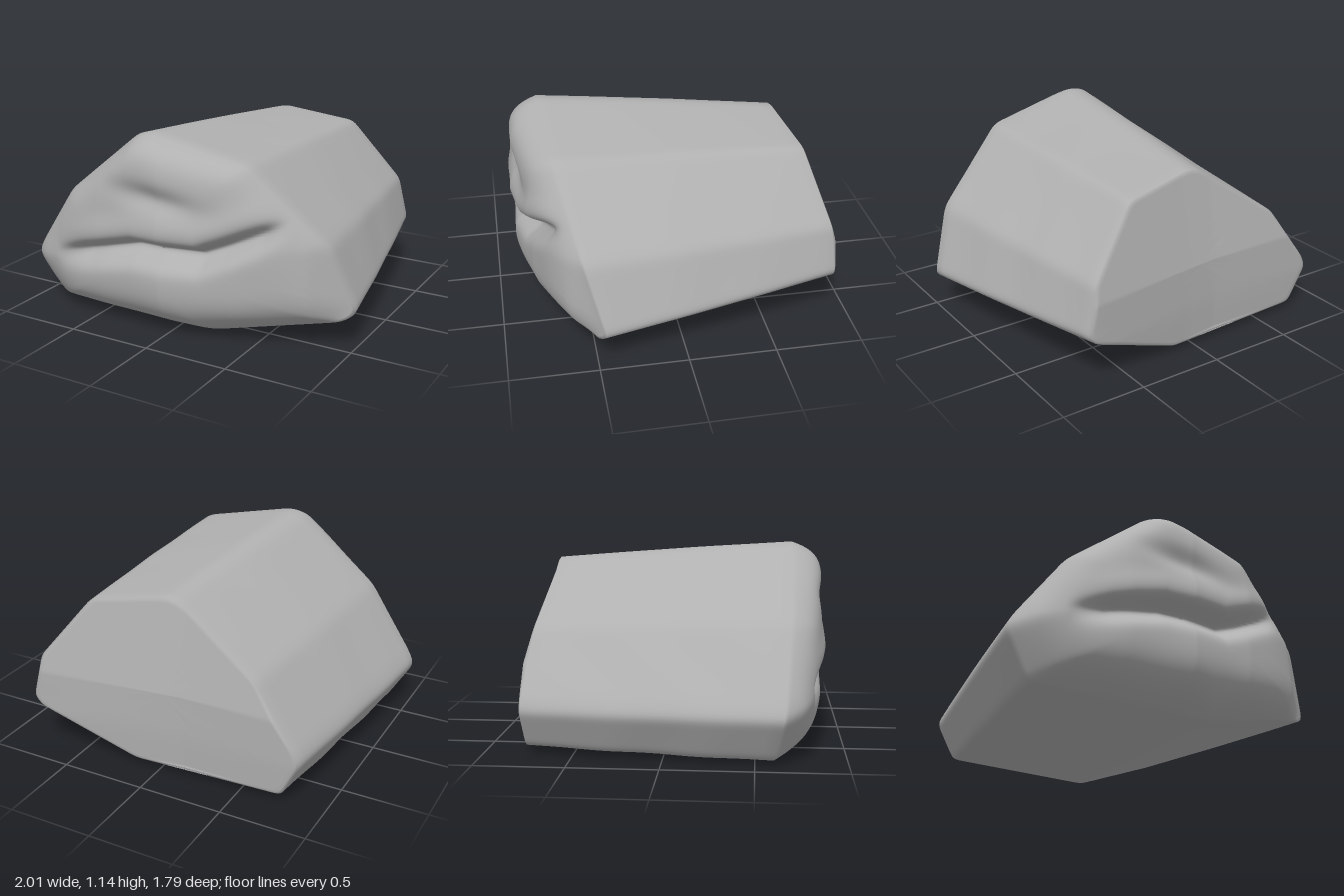
import * as THREE from 'three';

const CENTRE = [-0.03, 0.5];
const SEGMENTS = 240;
const CAP_RINGS = 48;

// Piecewise linear lookup through [input, output] pairs
function lookup(table, v) {
  if (v <= table[0][0]) return table[0][1];
  for (let i = 1; i < table.length; i++) {
    const [a, p] = table[i - 1], [b, q] = table[i];
    if (v <= b) return p + (q - p) * (v - a) / (b - a);
  }
  return table[table.length - 1][1];
}

// Back face: swings back towards the left side and leans forward near the top
const backDepth = [[-0.86, -0.77], [-0.15, -0.775], [0.05, -0.795], [0.35, -0.835], [0.72, -0.885]];
const backZ = (x, y) => lookup(backDepth, x) + lookup([[0, 0.015], [0.25, 0], [0.5, 0], [1.04, 0.105]], y);

// Matching corners of both ends, anticlockwise from the front: [x, y, z]
const frontCorners = [
  [-0.86, 0.015, 0.6], [0.2, 0, 0.6], [0.94, 0.17, 0.5], [1.015, 0.22, 0.45],
  [0.88, 0.6, 0.55], [0.46, 1.02, 0.66], [-0.12, 1.145, 0.7], [-0.21, 1.125, 0.7],
  [-0.7, 0.73, 0.69], [-0.97, 0.35, 0.66], [-1.015, 0.27, 0.65],
];
const backCorners = [
  [-0.75, 0.045], [0.15, 0.04], [0.73, 0.28], [0.78, 0.33],
  [0.72, 0.6], [0.43, 0.97], [-0.01, 1.035], [-0.08, 1.02],
  [-0.58, 0.68], [-0.83, 0.33], [-0.86, 0.26],
].map(([x, y]) => [x, y, backZ(x, y)]);

// Fill the edges with points (same spacing rule at both ends), then soften the corners
function outline(corners) {
  const n = corners.length;
  const lengths = frontCorners.map((p, i) => {
    const q = frontCorners[(i + 1) % n];
    return Math.hypot(q[0] - p[0], q[1] - p[1]);
  });
  const total = lengths.reduce((a, b) => a + b, 0);
  let points = [];
  let edge = 0, start = 0;
  for (let j = 0; j < SEGMENTS; j++) {
    const d = total * j / SEGMENTS;
    while (d > start + lengths[edge]) start += lengths[edge++];
    const t = (d - start) / lengths[edge];
    const p = corners[edge], q = corners[(edge + 1) % n];
    points.push(p.map((v, k) => v + (q[k] - v) * t));
  }
  for (let pass = 0; pass < 4; pass++) {
    points = points.map((p, j) => {
      const a = points[(j + SEGMENTS - 1) % SEGMENTS], b = points[(j + 1) % SEGMENTS];
      return p.map((v, k) => v / 2 + (a[k] + b[k]) / 4);
    });
  }
  return points;
}

const crackLine = [[-0.72, 0.37], [-0.6, 0.4], [-0.35, 0.465], [-0.18, 0.505], [0.22, 0.51], [0.36, 0.57], [0.65, 0.71]];
const crackFade = [[-0.74, 0], [-0.5, 0.75], [-0.2, 1], [0.4, 1], [0.56, 0.7], [0.7, 0]];
const faceDepth = [[-1, 0.77], [-0.88, 0.81], [-0.7, 0.84], [-0.4, 0.87], [0, 0.88], [0.4, 0.81], [0.8, 0.68], [1, 0.53]];
const bump = (v) => Math.exp(-v * v);

// Depth of the front face, with the crack, its overhanging lip and the hollow above
function faceZ(x, y) {
  const t = y - lookup(crackLine, x);
  const crack = 0.12 * bump(t / (t > 0 ? 0.045 : 0.075));
  const lip = 0.02 * bump((t - 0.12) / 0.08);
  const hollow = 0.042 * bump((x + 0.03) / 0.24) * bump((y - 0.8 + 0.12 * x) / 0.07);
  const unevenness = 0.005 * Math.sin(9 * x + 4 * y) * Math.sin(7 * y - 3 * x);
  return lookup(faceDepth, x) - lookup(crackFade, x) * (crack - lip) - hollow + unevenness;
}

function rockGeometry() {
  const front = outline(frontCorners), back = outline(backCorners);
  const rows = [];
  const inset = (p, s, z) => [CENTRE[0] + (p[0] - CENTRE[0]) * s, CENTRE[1] + (p[1] - CENTRE[1]) * s, z];

  // Back face, growing from its centre to a tight rounded rim
  for (const s of [0, 0.15, 0.3, 0.45, 0.6, 0.75, 0.88, 0.95, 0.98]) {
    rows.push(back.map((p) => {
      const q = inset(p, s, 0);
      q[2] = backZ(q[0], q[1]) - 0.008;
      return q;
    }));
  }
  // Long sides, with slightly uneven stone
  for (let i = 0; i <= 20; i++) {
    const t = i / 20;
    rows.push(back.map((p, j) => {
      const q = front[j].map((v, k) => p[k] + (v - p[k]) * t);
      const s = 1 + Math.sin(Math.PI * t) * (0.008 + 0.005 * Math.sin(11 * q[2] + 5 * q[0]) * Math.sin(6 * q[1] + 2 * q[0]));
      return inset(q, s, q[2]);
    }));
  }
  // Front face, shrinking from its rim to the centre, with a softer bevel at the foot
  for (let i = CAP_RINGS - 1; i >= 0; i--) {
    const s = i / CAP_RINGS;
    rows.push(front.map((p) => {
      const q = inset(p, s, 0);
      const rim = Math.pow(s, lookup([[0, 5], [0.3, 9], [1, 11]], p[1]));
      q[2] = faceZ(q[0], q[1]) * (1 - rim) + p[2] * rim;
      return q;
    }));
  }

  const index = [];
  for (let i = 0; i < rows.length - 1; i++) {
    for (let j = 0; j < SEGMENTS; j++) {
      const k = (j + 1) % SEGMENTS;
      const a = i * SEGMENTS + j, b = i * SEGMENTS + k;
      const c = b + SEGMENTS, d = a + SEGMENTS;
      if (i > 0) index.push(a, b, c);
      if (i < rows.length - 2) index.push(a, c, d);
    }
  }
  const geometry = new THREE.BufferGeometry();
  geometry.setAttribute('position', new THREE.Float32BufferAttribute(rows.flat(2), 3));
  geometry.setIndex(index);
  geometry.computeVertexNormals();
  return geometry;
}

export function createModel() {
  const stone = new THREE.MeshStandardMaterial({ color: 0xb0b0b0 });
  stone.name = 'grey stone';

  const rock = new THREE.Mesh(rockGeometry(), stone);
  rock.name = 'crackedRock';

  const group = new THREE.Group();
  group.name = 'rock';
  group.add(rock);
  return group;
}
